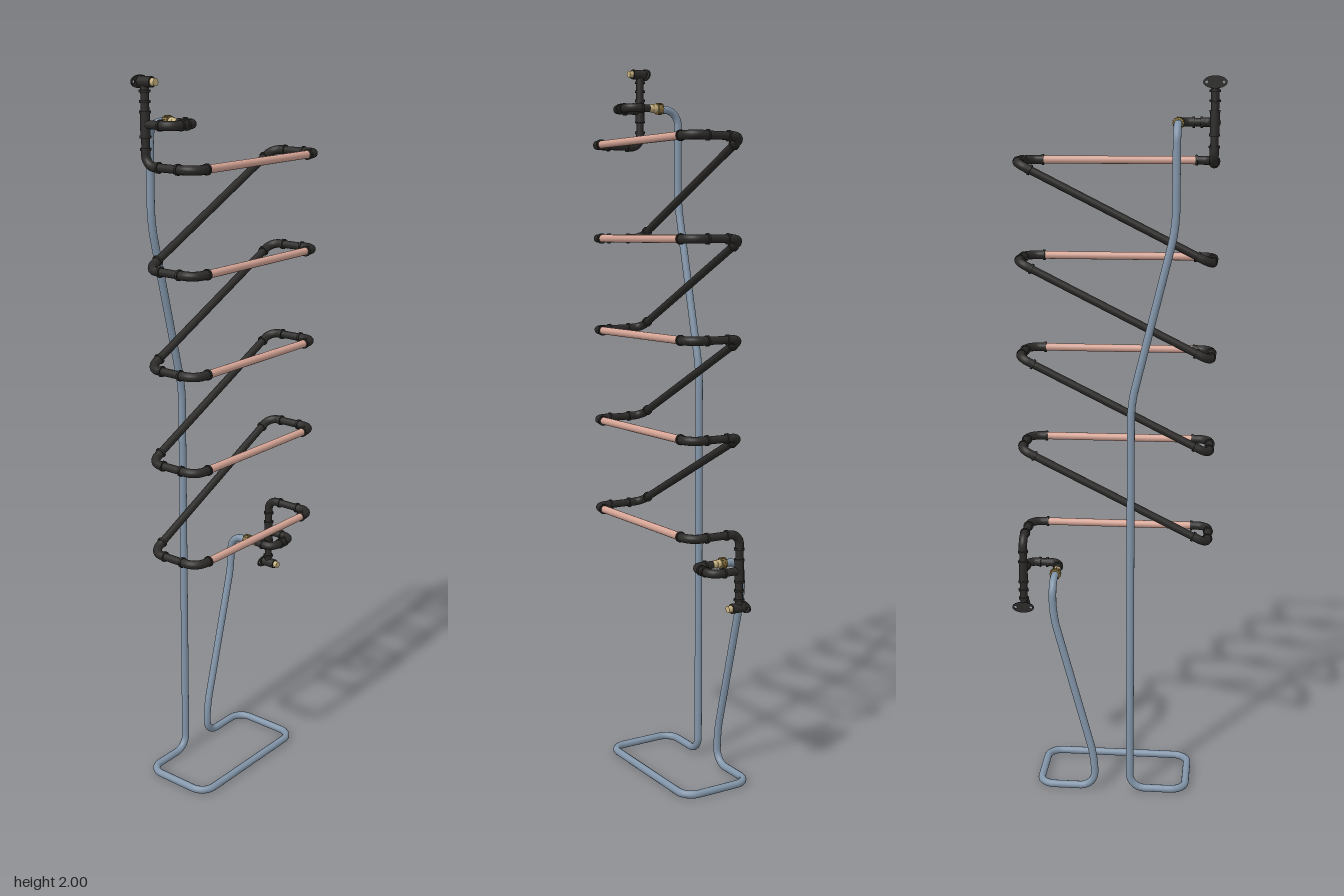
import * as THREE from 'three';

const flat = (name, color) => {
  const m = new THREE.MeshStandardMaterial({ color });
  m.name = name;
  return m;
};
const steel = flat('blueGreySteel', 0x8295a9);
const dark = flat('darkPipe', 0x2b2a28);
const copper = flat('copper', 0xd6a596);
const brass = flat('brass', 0xcdb784);
const oldBrass = flat('agedBrass', 0x8a7440);

const V = (x, y, z) => new THREE.Vector3(x, y, z);

function add(parent, name, geometry, material) {
  const mesh = new THREE.Mesh(geometry, material);
  mesh.name = name;
  parent.add(mesh);
  return mesh;
}

// Polyline with rounded corners; bend is the distance trimmed at each corner
function roundedPath(points, bend) {
  const path = new THREE.CurvePath();
  let from = points[0];
  for (let i = 1; i < points.length - 1; i++) {
    const p = points[i];
    const d0 = points[i - 1].clone().sub(p), d1 = points[i + 1].clone().sub(p);
    const a = p.clone().addScaledVector(d0.normalize(), bend);
    const b = p.clone().addScaledVector(d1.normalize(), bend);
    path.add(new THREE.LineCurve3(from, a));
    // Handles at 0.55 of the trim approximate a circular bend
    path.add(new THREE.CubicBezierCurve3(a, a.clone().lerp(p, 0.55), b.clone().lerp(p, 0.55), b));
    from = b;
  }
  path.add(new THREE.LineCurve3(from, points[points.length - 1]));
  return path;
}

function bentTube(parent, name, points, bend, radius, material, segments) {
  const path = roundedPath(points, bend);
  path.arcLengthDivisions = segments * 2;
  return add(parent, name, new THREE.TubeGeometry(path, segments, radius, 14), material);
}

// Capped straight cylinder between two points
function rod(parent, name, a, b, radius, material, sides = 16) {
  const dir = b.clone().sub(a);
  const mesh = add(parent, name, new THREE.CylinderGeometry(radius, radius, dir.length(), sides), material);
  mesh.position.copy(a).lerp(b, 0.5);
  mesh.quaternion.setFromUnitVectors(V(0, 1, 0), dir.normalize());
  return mesh;
}

// Raised ring at the mouth of a fitting
function bead(parent, at, dir, radius = 0.0145) {
  const half = dir.clone().multiplyScalar(0.003);
  rod(parent, 'fittingRing', at.clone().sub(half), at.clone().add(half), radius, dark);
}

// Elbow fitting at a corner between two pipes
function elbow(parent, corner, toA, toB, leg = 0.05) {
  const da = toA.clone().sub(corner).normalize(), db = toB.clone().sub(corner).normalize();
  const a = corner.clone().addScaledVector(da, leg), b = corner.clone().addScaledVector(db, leg);
  bentTube(parent, 'elbow', [a, corner, b], leg * 0.7, 0.012, dark, 20);
  bead(parent, a, da);
  bead(parent, b, db);
}

const X = 0.26, FRONT = 0.11, BACK = -0.045, R = 0.0107;
const TOP = 1.78, STEP = 0.26, RUNGS = 5;

// Free-standing frame: one tube forming both legs and the foot loop
function buildStand(parent) {
  const z = -0.116, y = 0.011, w = 0.21, f = 0.09;
  bentTube(parent, 'standTube', [
    V(-0.167, 1.88, -0.05), V(-0.167, 1.88, z), V(-0.167, 1.62, z), V(-0.052, 1.15, z),
    V(-0.052, y, z), V(-w, y, z), V(-w, y, f), V(w, y, f), V(w, y, z), V(0.05, y, z),
    V(0.05, 0.1, z), V(0.167, 0.54, z), V(0.167, 0.637, z), V(0.167, 0.637, -0.05),
  ], 0.042, R, steel, 520);
}

// Zigzag of copper rungs joined by dark pipe
function buildCoil(parent) {
  for (let i = 0; i < RUNGS; i++) {
    const y = TOP - i * STEP;
    rod(parent, 'copperRung', V(-0.215, y, FRONT), V(0.215, y, FRONT), R, copper);
    for (const s of [-1, 1]) {
      const corner = V(s * X, y, FRONT), back = V(s * X, y, BACK);
      elbow(parent, corner, V(0, y, FRONT), back);
      rod(parent, 'sidePipe', V(s * X, y, FRONT - 0.045), V(s * X, y, BACK + 0.03), R, dark);
      // Rear corners lead to the diagonals, or to the end risers
      let next = V(-X, y - STEP, BACK);
      if (s < 0) next = V(X, y + STEP, BACK);
      if (s < 0 && i === 0) next = V(-X, y + 0.1, BACK);
      if (s > 0 && i === RUNGS - 1) next = V(X, y - 0.1, BACK);
      elbow(parent, back, corner, next, 0.042);
    }
    if (i < RUNGS - 1) {
      const a = V(X, y, BACK), b = V(-X, y - STEP, BACK);
      rod(parent, 'diagonalPipe', a.clone().lerp(b, 0.06), a.clone().lerp(b, 0.94), R, dark);
    }
  }
}

// Oval wall plate with two screw holes
function wallPlate(parent, x, y, z) {
  const shape = new THREE.Shape().absellipse(0, 0, 0.031, 0.016, 0, Math.PI * 2);
  for (const s of [-1, 1])
    shape.holes.push(new THREE.Path().absarc(s * 0.022, 0, 0.004, 0, Math.PI * 2, true));
  const geo = new THREE.ExtrudeGeometry(shape, { depth: 0.003, bevelEnabled: false, curveSegments: 16 });
  add(parent, 'wallPlate', geo, dark).position.set(x, y, z);
}

// Riser with wall fixing, and the side loop that connects to the stand
function buildEnd(parent, s, yJoint, up) {
  const x = s * X, xi = s * 0.167;
  const yLoop = yJoint + up * 0.102, yEnd = yJoint + up * 0.204;
  const axis = V(0, 1, 0);
  rod(parent, 'riser', V(x, yJoint + up * 0.035, BACK), V(x, yEnd, BACK), R, dark);
  rod(parent, 'teeBody', V(x, yLoop - 0.03, BACK), V(x, yLoop + 0.03, BACK), 0.0125, dark);
  for (const d of [-0.03, 0.03, up * 0.055, up * 0.08]) bead(parent, V(x, yLoop + d, BACK), axis);

  // Wall fixing
  wallPlate(parent, x, yEnd, -0.063);
  rod(parent, 'fixingBody', V(x, yEnd, -0.061), V(x, yEnd, -0.02), 0.0135, dark);
  rod(parent, 'ventPlug', V(x, yEnd, -0.021), V(x, yEnd, -0.008), 0.0095, brass);

  // Side loop
  const z = 0.04, outer = V(x, yLoop, z), inner = V(xi, yLoop, z);
  const rear = V(x, yLoop, BACK), joint = V(xi, yLoop, -0.02);
  elbow(parent, outer, rear, inner, 0.036);
  elbow(parent, inner, outer, joint, 0.036);
  rod(parent, 'loopPipe', outer.clone().lerp(inner, 0.3), outer.clone().lerp(inner, 0.7), R, dark);
  rod(parent, 'loopPipe', rear, V(x, yLoop, 0.01), R, dark);
  rod(parent, 'loopPipe', joint, V(xi, yLoop, 0.01), R, dark);

  // Brass union with a knurled nut
  rod(parent, 'unionBody', V(xi, yLoop, -0.046), V(xi, yLoop, -0.016), 0.0105, brass);
  rod(parent, 'unionCollar', V(xi, yLoop, -0.043), V(xi, yLoop, -0.032), 0.0125, brass, 6);
  rod(parent, 'knurledNut', V(xi, yLoop, -0.061), V(xi, yLoop, -0.045), 0.0145, oldBrass, 20);
  for (let i = 0; i < 14; i++) {
    const a = (i / 14) * Math.PI * 2;
    const knob = add(parent, 'nutRib', new THREE.BoxGeometry(0.0025, 0.0025, 0.016), oldBrass);
    knob.position.set(xi + Math.cos(a) * 0.0148, yLoop + Math.sin(a) * 0.0148, -0.053);
    knob.rotation.z = a;
  }
}

export function createModel() {
  const model = new THREE.Group();
  model.name = 'towelRail';
  const part = (name, build, ...args) => {
    const g = new THREE.Group();
    g.name = name;
    build(g, ...args);
    model.add(g);
  };
  part('stand', buildStand);
  part('coil', buildCoil);
  part('upperEnd', buildEnd, -1, TOP, 1);
  part('lowerEnd', buildEnd, 1, TOP - (RUNGS - 1) * STEP, -1);
  return model;
}
